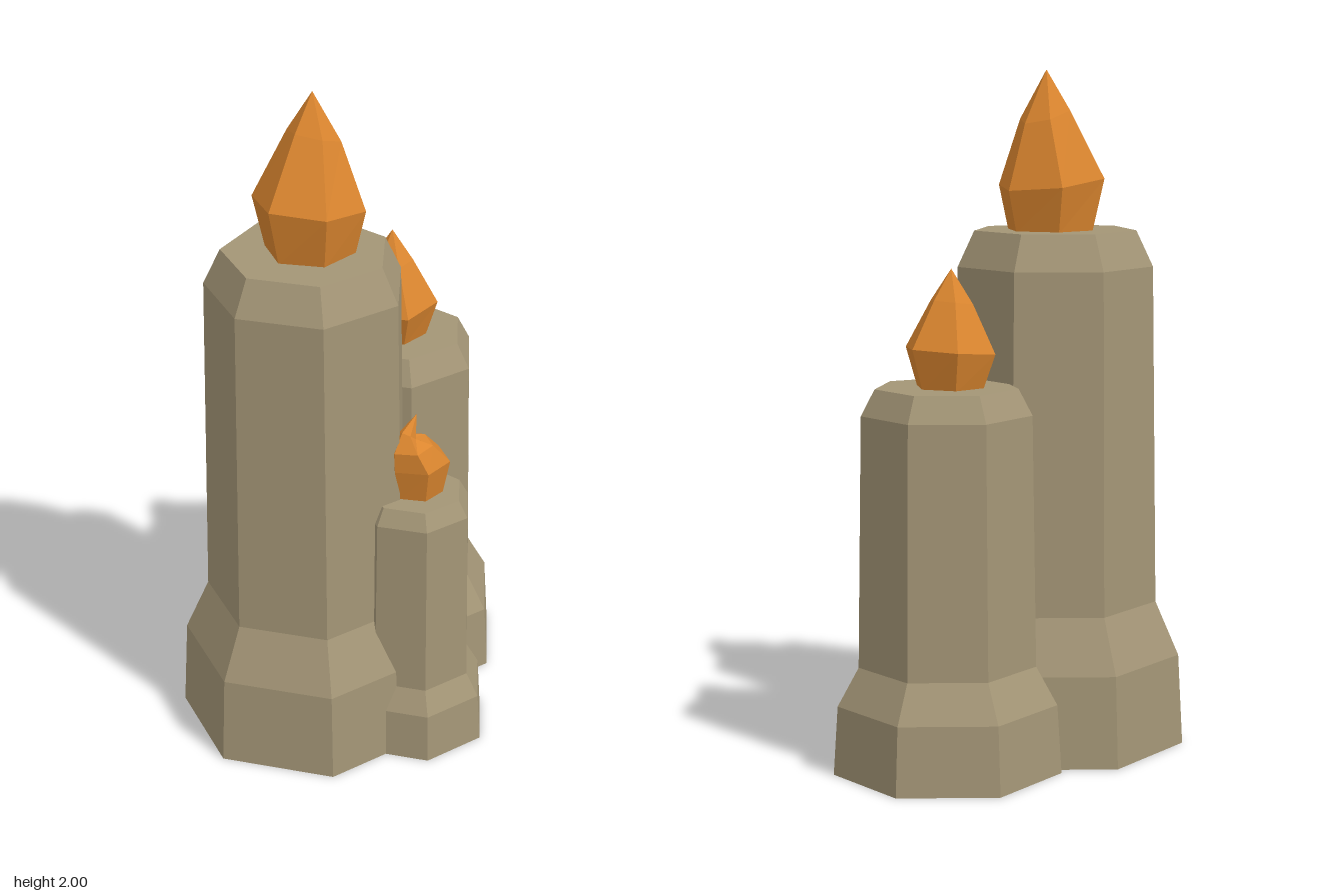
import * as THREE from 'three';

// Skin a stack of rings [y, radius, centreX, tilt]; tilt raises the +x side. The last ring may be a point.
function loft(rings, sides, start) {
  const point = ([y, r, cx = 0, tilt = 0], j) => {
    const a = start + (j % sides) / sides * Math.PI * 2;
    return [cx + r * Math.cos(a), y + tilt * Math.cos(a), r * Math.sin(a)];
  };
  const pos = [];
  for (let i = 0; i < rings.length - 1; i++) {
    for (let j = 0; j < sides; j++) {
      const a = point(rings[i], j), b = point(rings[i], j + 1);
      const c = point(rings[i + 1], j), d = point(rings[i + 1], j + 1);
      pos.push(...a, ...c, ...b);
      if (rings[i + 1][1] > 0) pos.push(...b, ...c, ...d);
    }
  }
  const geo = new THREE.BufferGeometry();
  geo.setAttribute('position', new THREE.Float32BufferAttribute(pos, 3));
  geo.computeVertexNormals();
  return geo;
}

export function createModel() {
  const wax = new THREE.MeshStandardMaterial({ color: 0xa39576, flatShading: true, side: THREE.DoubleSide });
  wax.name = 'wax';
  const fire = new THREE.MeshStandardMaterial({ color: 0xdb862f, flatShading: true, side: THREE.DoubleSide });
  fire.name = 'flame orange';

  const candles = [
    {
      name: 'tallCandle', x: -0.175, z: -0.067,
      body: [[0, 0.395], [0.27, 0.38], [0.43, 0.31], [1.43, 0.293], [1.535, 0.243], [1.535, 0]],
      flame: [[1.53, 0.13, 0.017], [1.675, 0.163, 0.013, -0.022], [1.87, 0.077, 0.038, -0.025], [2, 0, 0.033]],
    },
    {
      name: 'middleCandle', x: 0.27, z: -0.112,
      body: [[0, 0.335], [0.2, 0.322], [0.31, 0.26], [1.035, 0.248], [1.11, 0.208], [1.11, 0]],
      flame: [[1.105, 0.1, -0.013], [1.213, 0.136, -0.014, 0.012], [1.35, 0.064, -0.02, 0.008], [1.445, 0, -0.018]],
    },
    {
      name: 'shortCandle', x: -0.033, z: 0.224,
      body: [[0, 0.228], [0.15, 0.218], [0.22, 0.179], [0.76, 0.17], [0.81, 0.142], [0.81, 0]],
      // curled flame
      flame: [[0.805, 0.077, 0.005], [0.91, 0.098, 0.005, 0.004], [0.973, 0.068, -0.028, 0.005],
        [1.005, 0.024, -0.038, -0.018], [1.06, 0, 0.002]],
    },
  ];

  const model = new THREE.Group();
  model.name = 'candles';
  for (const { name, x, z, body, flame } of candles) {
    const candle = new THREE.Group();
    candle.name = name;
    candle.position.set(x, 0, z);
    // Seven-sided wax column, open underneath
    const column = new THREE.Mesh(loft(body, 7, Math.PI), wax);
    column.name = 'waxColumn';
    // Six-sided flame
    const flameMesh = new THREE.Mesh(loft(flame, 6, 0), fire);
    flameMesh.name = 'flame';
    candle.add(column, flameMesh);
    model.add(candle);
  }
  return model;
}
